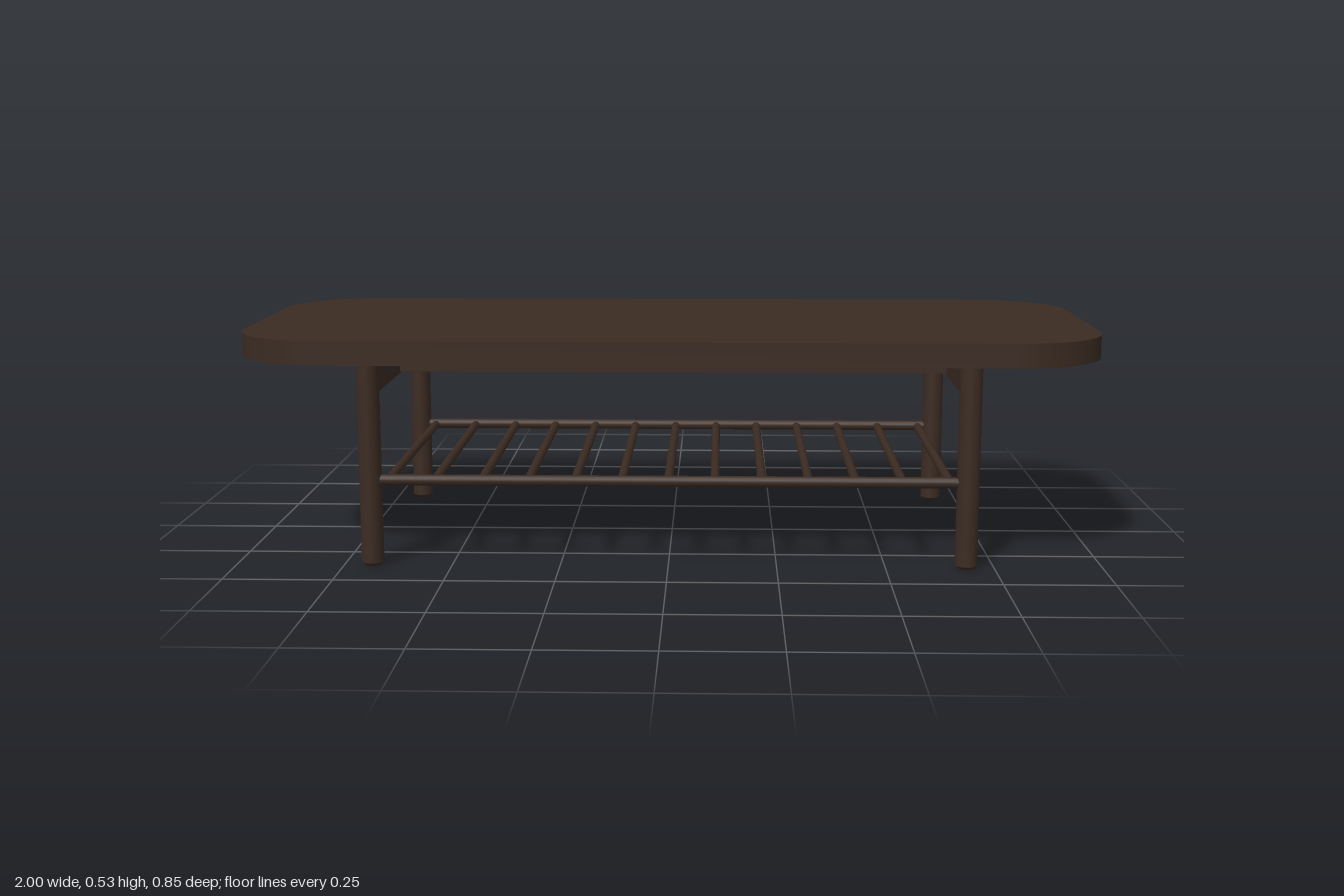
import * as THREE from 'three';

export function createModel() {
  const model = new THREE.Group();
  const wood = new THREE.MeshStandardMaterial({ color: 0x3b2b22 });
  wood.name = 'darkWood';

  const add = (name, geometry, x, y, z) => {
    const mesh = new THREE.Mesh(geometry, wood);
    mesh.name = name;
    mesh.position.set(x, y, z);
    model.add(mesh);
    return mesh;
  };

  // Table top: rounded rectangle slab
  const w = 1, d = 0.427, r = 0.215;
  const outline = new THREE.Shape();
  outline.absarc(w - r, d - r, r, 0, Math.PI / 2);
  outline.absarc(-w + r, d - r, r, Math.PI / 2, Math.PI);
  outline.absarc(-w + r, -d + r, r, Math.PI, Math.PI * 1.5);
  outline.absarc(w - r, -d + r, r, Math.PI * 1.5, Math.PI * 2);
  outline.closePath();
  const slab = new THREE.ExtrudeGeometry(outline, { depth: 0.055, bevelEnabled: false, curveSegments: 16 });
  slab.rotateX(-Math.PI / 2);
  add('tableTop', slab, 0, 0.475, 0);

  // Round legs with a small chamfer at the foot
  const legX = 0.685, legZ = 0.358, legR = 0.026;
  for (const sx of [-1, 1]) {
    for (const sz of [-1, 1]) {
      const body = new THREE.CylinderGeometry(legR, legR, 0.469, 24);
      add('leg', body, sx * legX, 0.2415, sz * legZ);
      const foot = new THREE.CylinderGeometry(legR, legR - 0.007, 0.007, 24);
      add('legFoot', foot, sx * legX, 0.0035, sz * legZ);
    }
    // End apron joining a pair of legs
    add('endApron', new THREE.BoxGeometry(0.026, 0.08, legZ * 2), sx * legX, 0.435, 0);
  }

  // Central beam under the top
  add('centreBeam', new THREE.BoxGeometry(legX * 2, 0.077, 0.026), 0, 0.4365, 0);

  // Long shelf rails between the legs
  for (const sz of [-1, 1]) {
    const rail = new THREE.CylinderGeometry(0.013, 0.013, legX * 2, 16);
    rail.rotateZ(Math.PI / 2);
    add('shelfRail', rail, 0, 0.2, sz * legZ);
  }

  // Shelf rods across the rails
  const count = 13, span = 1.29;
  for (let i = 0; i < count; i++) {
    const rod = new THREE.CylinderGeometry(0.0105, 0.0105, legZ * 2, 12);
    rod.rotateX(Math.PI / 2);
    add('shelfRod', rod, -span / 2 + (span * i) / (count - 1), 0.198, 0);
  }
  return model;
}
